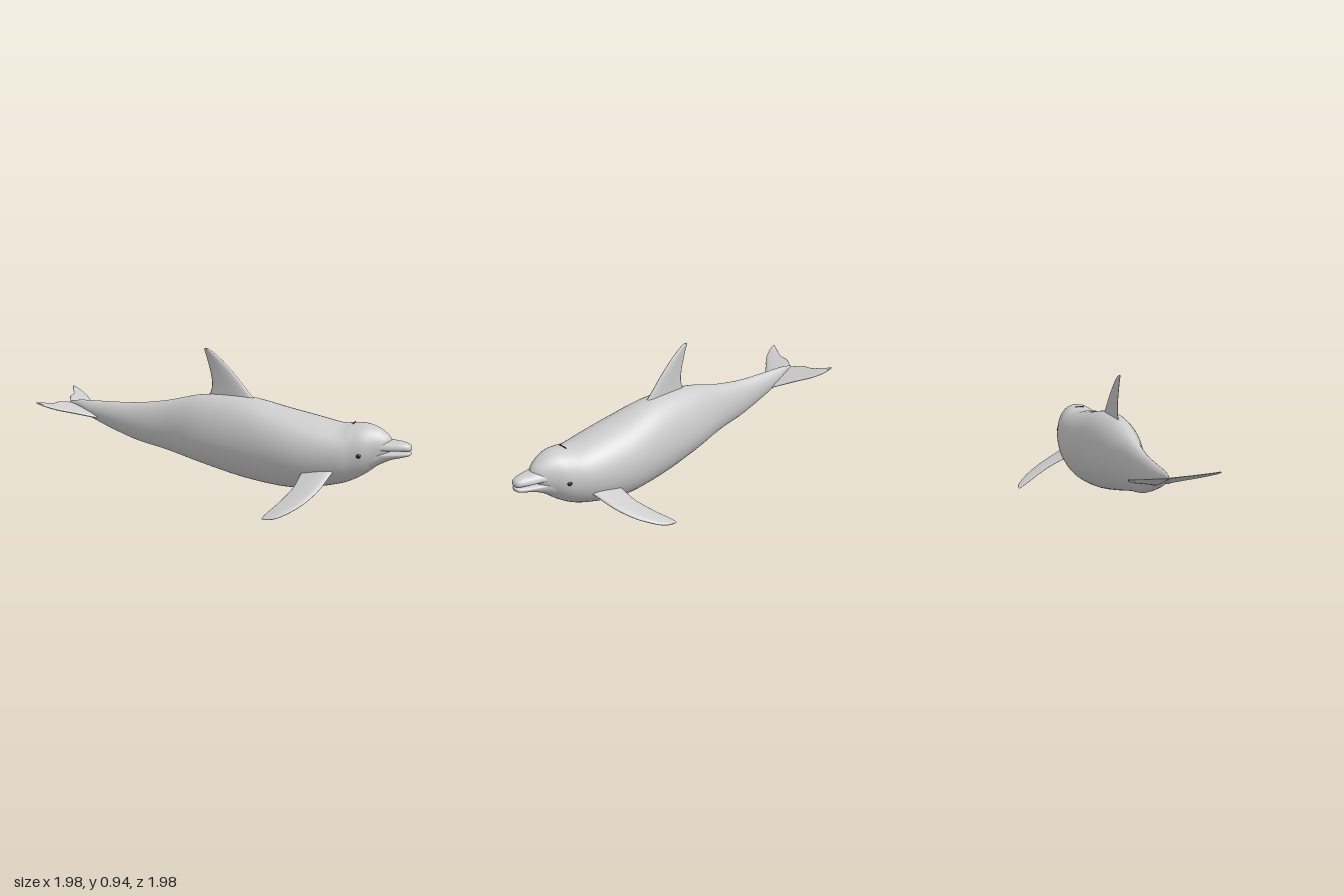
import * as THREE from 'three';

const V = (x, y, z) => new THREE.Vector3(x, y, z);
const spline = (pts) => new THREE.CatmullRomCurve3(pts, false, 'catmullrom', 0.5);

// Skin closed rings of points; winding is chosen so the faces point outwards
function loft(rings) {
  const n = rings[0].length, pos = [], idx = [];
  rings.forEach((r) => r.forEach((p) => pos.push(p.x, p.y, p.z)));
  for (let i = 0; i < rings.length - 1; i++) {
    for (let j = 0; j < n; j++) {
      const a = i * n + j, b = i * n + (j + 1) % n;
      idx.push(a, b, b + n, a, b + n, a + n);
    }
  }
  const pts = rings.flat();
  let volume = 0;
  for (let i = 0; i < idx.length; i += 3) {
    volume += pts[idx[i]].dot(pts[idx[i + 1]].clone().cross(pts[idx[i + 2]]));
  }
  if (volume < 0) idx.reverse();
  const g = new THREE.BufferGeometry();
  g.setAttribute('position', new THREE.Float32BufferAttribute(pos, 3));
  g.setIndex(idx);
  g.computeVertexNormals();
  return g;
}

// Rows: [z, top, bottom, half width, height of widest point, k]; k > 1 is keeled, k < 1 is boxy
function trunk(rows, steps, sides = 48) {
  const a = spline(rows.map((r) => V(r[0], r[1], r[2])));
  const b = spline(rows.map((r) => V(r[3], r[4], r[5])));
  const rings = [];
  for (let i = 0; i <= steps; i++) {
    const p = a.getPoint(i / steps), q = b.getPoint(i / steps), ring = [];
    for (let j = 0; j < sides; j++) {
      const t = (j / sides) * Math.PI * 2, c = Math.cos(t), s = Math.sin(t);
      const x = Math.max(q.x, 0.0005) * Math.sign(c) * Math.abs(c) ** q.z;
      ring.push(V(x, q.y + s * (s > 0 ? p.y - q.y : q.y - p.z), p.x));
    }
    rings.push(ring);
  }
  return loft(rings);
}

// Foil section between a leading and a trailing edge, thinning from root to tip
function fin(lead, trail, normal, thick, steps = 30, sides = 24) {
  const a = spline(lead), b = spline(trail), rings = [];
  for (let i = 0; i <= steps; i++) {
    const u = i / steps, p = a.getPoint(u), q = b.getPoint(u), ring = [];
    const h = thick * (1 - 0.75 * u) * (i === steps ? 0.1 : 1);
    for (let j = 0; j < sides; j++) {
      const t = (j / sides) * Math.PI * 2, c = (1 - Math.cos(t)) / 2;
      ring.push(p.clone().lerp(q, c).addScaledVector(normal, h * Math.sin(t) * (1 - 0.7 * c)));
    }
    rings.push(ring);
  }
  return loft(rings);
}

export function createModel() {
  const model = new THREE.Group();
  const skin = new THREE.MeshStandardMaterial({ color: 0xcccccc, side: THREE.DoubleSide });
  const dark = new THREE.MeshStandardMaterial({ color: 0x222222 });
  const add = (name, geometry, material = skin) => {
    const m = new THREE.Mesh(geometry, material);
    m.name = name;
    model.add(m);
    return m;
  };

  // Body from the tail stock to the rounded forehead
  add('body', trunk([
    [-1.0, 0.508, 0.498, 0.004, 0.503, 1.2],
    [-0.93, 0.521, 0.455, 0.02, 0.49, 1.2],
    [-0.85, 0.525, 0.41, 0.038, 0.465, 1.2],
    [-0.7, 0.528, 0.345, 0.052, 0.44, 1.2],
    [-0.5, 0.537, 0.275, 0.066, 0.41, 1.15],
    [-0.28, 0.57, 0.228, 0.094, 0.39, 1.1],
    [-0.02, 0.63, 0.162, 0.158, 0.37, 1.05],
    [0.28, 0.638, 0.095, 0.203, 0.35, 1],
    [0.56, 0.582, 0.064, 0.228, 0.33, 0.95],
    [0.75, 0.546, 0.08, 0.22, 0.32, 0.95],
    [0.92, 0.514, 0.118, 0.193, 0.33, 0.95],
    [1.0, 0.523, 0.148, 0.17, 0.34, 0.95],
    [1.08, 0.525, 0.195, 0.146, 0.36, 0.95],
    [1.15, 0.508, 0.25, 0.107, 0.38, 0.95],
    [1.21, 0.473, 0.31, 0.068, 0.39, 0.95],
    [1.24, 0.44, 0.35, 0.035, 0.39, 1],
    [1.25, 0.4, 0.38, 0, 0.39, 1],
  ], 120));

  // Beak: two jaws with the mouth line between them
  add('upperJaw', trunk([
    [1.05, 0.43, 0.362, 0.12, 0.38, 0.8],
    [1.12, 0.435, 0.362, 0.115, 0.38, 0.8],
    [1.18, 0.435, 0.363, 0.088, 0.382, 0.8],
    [1.25, 0.431, 0.364, 0.071, 0.384, 0.8],
    [1.32, 0.425, 0.366, 0.053, 0.386, 0.8],
    [1.36, 0.412, 0.368, 0.034, 0.387, 0.85],
    [1.375, 0.39, 0.38, 0, 0.386, 1],
  ], 36));
  add('lowerJaw', trunk([
    [1.03, 0.355, 0.19, 0.13, 0.33, 0.9],
    [1.12, 0.355, 0.232, 0.112, 0.335, 0.85],
    [1.18, 0.358, 0.27, 0.085, 0.338, 0.8],
    [1.25, 0.361, 0.305, 0.068, 0.342, 0.8],
    [1.32, 0.364, 0.325, 0.05, 0.347, 0.8],
    [1.36, 0.366, 0.337, 0.032, 0.352, 0.85],
    [1.373, 0.36, 0.35, 0, 0.355, 1],
  ], 36));

  // Dorsal fin stations: [height, leading z, trailing z]
  const dorsal = [[0.59, 0.37, 0], [0.64, 0.318, 0.025], [0.7, 0.265, 0.038], [0.77, 0.205, 0.03],
    [0.84, 0.137, 0.012], [0.9, 0.068, -0.006], [0.93, 0.025, -0.017], [0.942, -0.004, -0.013]];
  add('dorsalFin', fin(dorsal.map((d) => V(0, d[0], d[1])), dorsal.map((d) => V(0, d[0], d[2])),
    V(1, 0, 0), 0.032));

  // Paired parts; stations: [leading x, leading z, trailing x, trailing z]
  const flipper = [[0.12, 0.93, 0.12, 0.72], [0.195, 0.9, 0.212, 0.707], [0.318, 0.856, 0.311, 0.69],
    [0.431, 0.785, 0.424, 0.636], [0.513, 0.7, 0.502, 0.587], [0.55, 0.64, 0.538, 0.567],
    [0.563, 0.58, 0.559, 0.56]];
  const fluke = [[0, -0.72, 0, -0.995], [0.035, -0.775, 0.035, -1.018], [0.075, -0.82, 0.08, -1.04],
    [0.156, -0.905, 0.16, -1.052], [0.226, -0.976, 0.222, -1.085], [0.269, -1.045, 0.262, -1.105],
    [0.287, -1.112, 0.285, -1.117]];
  for (const side of [1, -1]) {
    const label = side > 0 ? 'left' : 'right';
    const drop = side > 0 ? 0.15 : 0.21;
    const flipperAt = (x, z) => V(side * x, 0.212 - drop * (x - 0.2) / 0.36, z);
    add(label + 'Flipper', fin(flipper.map((f) => flipperAt(f[0], f[1])),
      flipper.map((f) => flipperAt(f[2], f[3])), V(side * 0.4, 0.92, 0), 0.026));

    const flukeAt = (x, z) => V(side * x, 0.43 + (-0.82 - z) * 0.4, z);
    add(label + 'Fluke', fin(fluke.map((f) => flukeAt(f[0], f[1])),
      fluke.map((f) => flukeAt(f[2], f[3])), V(0, 0.93, 0.37), 0.024));

    const eye = add(label + 'Eye', new THREE.SphereGeometry(0.016, 20, 14), dark);
    eye.position.set(side * 0.146, 0.345, 1.063);
    eye.scale.set(0.8, 0.9, 1.1);
  }

  // Blowhole slit across the top of the head
  const blowhole = add('blowhole', new THREE.CapsuleGeometry(0.005, 0.055, 4, 10), dark);
  blowhole.rotation.z = Math.PI / 2;
  blowhole.position.set(0, 0.521, 1.0);

  // The animal swims along the diagonal
  model.rotation.y = Math.PI / 4;
  const root = new THREE.Group();
  root.name = 'dolphin';
  root.add(model);
  return root;
}
